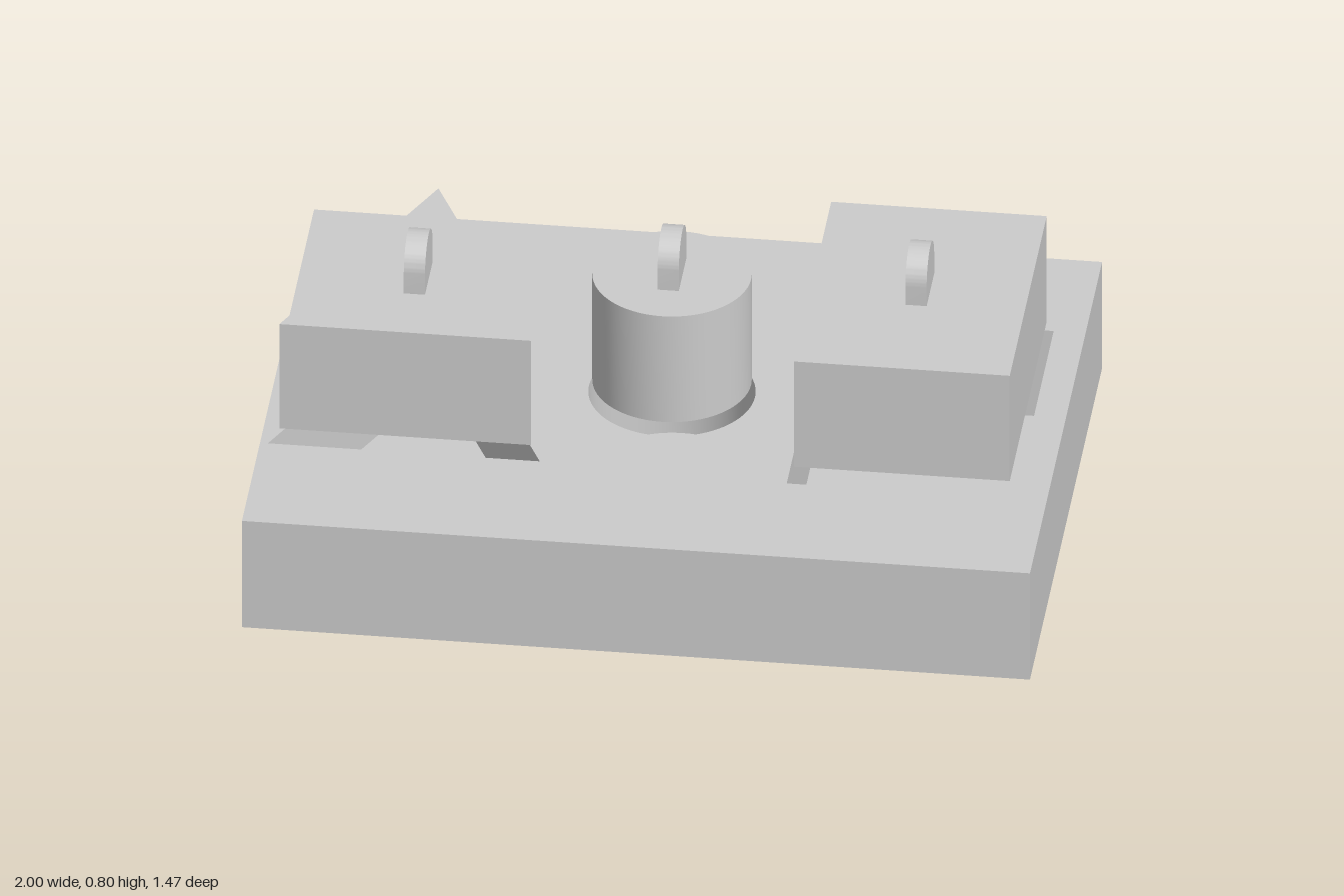
import * as THREE from 'three';
import { toCreasedNormals } from 'three/addons/utils/BufferGeometryUtils.js';

const material = new THREE.MeshStandardMaterial({ color: 0xcccccc });

function addMesh(parent, name, geometry) {
  const mesh = new THREE.Mesh(geometry, material);
  mesh.name = name;
  parent.add(mesh);
  return mesh;
}

// Closed outline on the ground plane, from [x, z] corners
function outline(points) {
  return new THREE.Shape(points.map(([x, z]) => new THREE.Vector2(x, -z)));
}

const rectangle = (x0, x1, z0, z1) => outline([[x0, z1], [x1, z1], [x1, z0], [x0, z0]]);
const triangle = (x0, x1, z0, z1) => outline([[x0, z1], [x1, z1], [(x0 + x1) / 2, z0]]);
const circle = (r) => new THREE.Shape().absarc(0, 0, r, 0, Math.PI * 2, false);

// Upright solid between two heights
function prism(shape, y0, y1) {
  const g = new THREE.ExtrudeGeometry(shape, { depth: y1 - y0, bevelEnabled: false, curveSegments: 32 });
  g.rotateX(-Math.PI / 2).translate(0, y0, 0);
  return toCreasedNormals(g, Math.PI / 6);
}

// Thin upright tab with a half-round top
function handle(x, z, top) {
  const r = 0.078, width = 0.054, foot = 0.65;
  const s = new THREE.Shape();
  s.moveTo(-r, foot);
  s.lineTo(r, foot);
  s.lineTo(r, top - r);
  s.absarc(0, top - r, r, 0, Math.PI, false);
  s.closePath();
  const g = new THREE.ExtrudeGeometry(s, { depth: width, bevelEnabled: false, curveSegments: 24 });
  g.translate(0, 0, -width / 2).rotateY(Math.PI / 2).translate(x, 0, z);
  return toCreasedNormals(g, Math.PI / 6);
}

export function createModel() {
  const model = new THREE.Group();
  model.name = 'shapeSorter';

  // Board: solid floor below a frame with three matching recesses
  const board = new THREE.Group();
  board.name = 'board';
  model.add(board);
  const floorY = 0.06, topY = 0.317, halfDepth = 0.737;
  addMesh(board, 'boardFloor', new THREE.BoxGeometry(2, floorY, halfDepth * 2)).position.y = floorY / 2;
  const frame = rectangle(-1, 1, -halfDepth, halfDepth);
  frame.holes.push(
    triangle(-0.98, -0.29, -0.373, 0.367),
    circle(0.211),
    rectangle(0.34, 0.919, -0.4, 0.393),
  );
  addMesh(board, 'boardFrame', prism(frame, floorY, topY));

  // Blocks hovering over their recesses, each with a handle
  const blocks = [
    { name: 'triangleBlock', shape: triangle(-0.953, -0.315, -0.332, 0.35), y0: 0.353, y1: 0.664, x: -0.633, z: 0.09, top: 0.798 },
    { name: 'roundBlock', shape: circle(0.201), y0: 0.353, y1: 0.668, x: 0, z: 0, top: 0.802 },
    { name: 'rectangleBlock', shape: rectangle(0.357, 0.904, -0.379, 0.377), y0: 0.358, y1: 0.672, x: 0.629, z: 0, top: 0.804 },
  ];
  for (const b of blocks) {
    const group = new THREE.Group();
    group.name = b.name;
    model.add(group);
    addMesh(group, b.name + 'Body', prism(b.shape, b.y0, b.y1));
    addMesh(group, b.name + 'Handle', handle(b.x, b.z, b.top));
  }

  return model;
}
